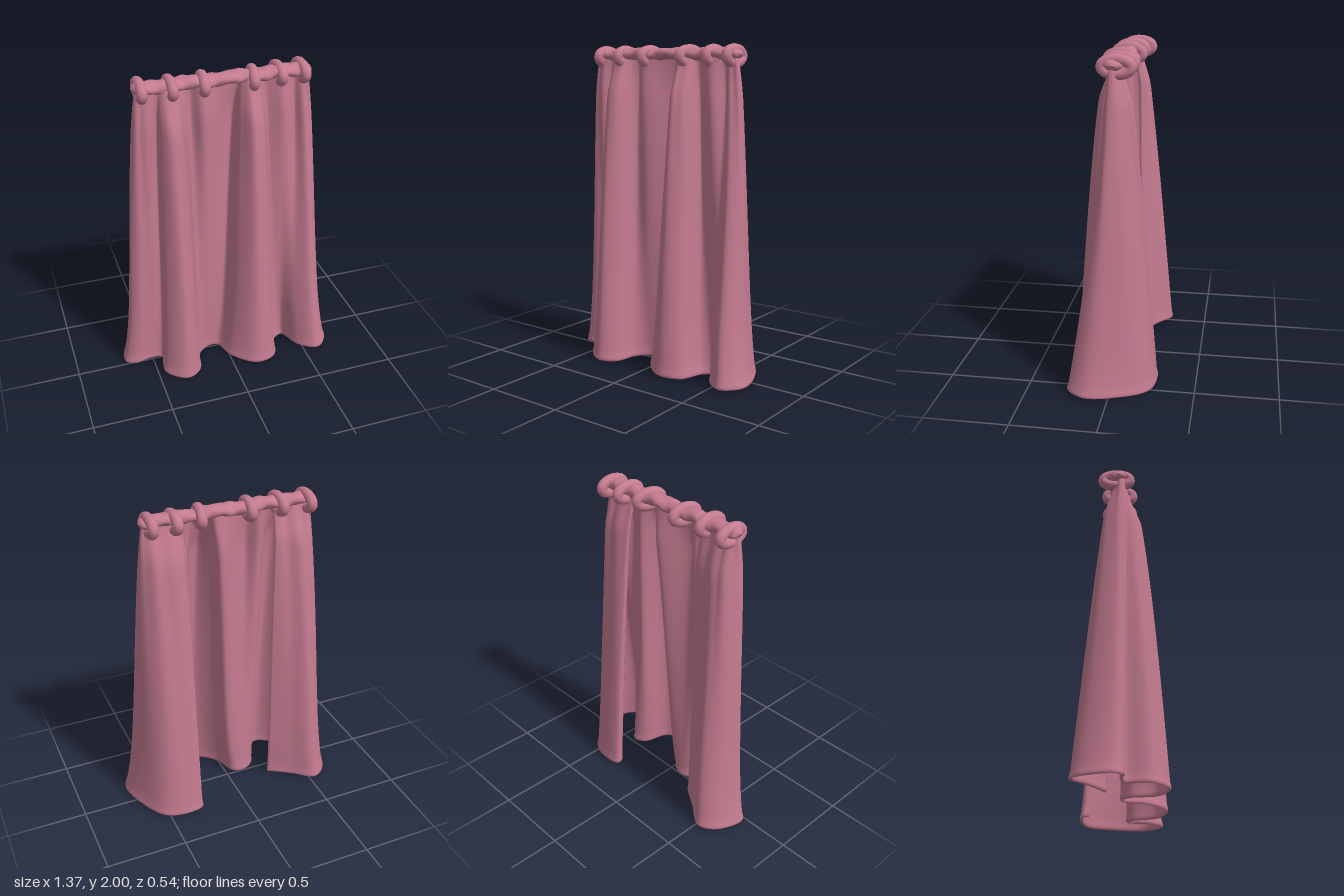
import * as THREE from 'three';

const cloth = new THREE.MeshStandardMaterial({ color: 0xc47b90 });
cloth.name = 'dustyPinkCloth';

// Plan of the curtain: [hem x, hem z, heading x, heading z], free edge to free edge
const plan = [
  [-0.26, -0.09, -0.28, -0.06], [-0.40, -0.18, -0.36, -0.065], [-0.53, -0.265, -0.43, -0.07],
  [-0.625, -0.20, -0.48, -0.05], [-0.678, -0.03, -0.505, 0.0], [-0.62, 0.01, -0.49, 0.035],
  [-0.52, 0.0, -0.45, 0.045], [-0.44, 0.02, -0.39, 0.0], [-0.45, 0.17, -0.37, 0.03],
  [-0.33, 0.26, -0.325, 0.07], [-0.235, 0.20, -0.28, 0.03], [-0.20, 0.06, -0.21, -0.035],
  [-0.12, 0.0, -0.14, 0.06], [-0.05, 0.01, 0.10, -0.065], [0.01, 0.15, 0.12, 0.02],
  [0.15, 0.26, 0.155, 0.065], [0.28, 0.22, 0.19, 0.03], [0.34, 0.06, 0.25, -0.03],
  [0.41, 0.03, 0.33, 0.045], [0.48, 0.18, 0.43, -0.02], [0.59, 0.247, 0.47, 0.015],
  [0.678, 0.14, 0.50, -0.005], [0.615, -0.09, 0.50, -0.04], [0.52, -0.22, 0.455, -0.065],
  [0.39, -0.255, 0.38, -0.07], [0.285, -0.24, 0.30, -0.06], [0.29, -0.205, 0.30, -0.045],
];
const hemCurve = new THREE.CatmullRomCurve3(plan.map((p) => new THREE.Vector3(p[0], 0, p[1])));
const headCurve = new THREE.CatmullRomCurve3(plan.map((p) => new THREE.Vector3(p[2], 0, p[3])));

// Smooth surface through rows of closed loops
function loft(rows) {
  const n = rows[0].length, pos = [], index = [];
  rows.forEach((row) => row.forEach((p) => pos.push(p.x, p.y, p.z)));
  for (let j = 0; j < rows.length - 1; j++) {
    for (let i = 0; i < n; i++) {
      const k = (i + 1) % n;
      const a = j * n + i, b = j * n + k, c = a + n, d = b + n;
      index.push(a, b, d, a, d, c);
    }
  }
  const geo = new THREE.BufferGeometry();
  geo.setAttribute('position', new THREE.Float32BufferAttribute(pos, 3));
  geo.setIndex(index);
  geo.computeVertexNormals();
  return geo;
}

function part(name, geo) {
  const mesh = new THREE.Mesh(geo, cloth);
  mesh.name = name;
  return mesh;
}

// Centre line of the cloth at height y: swells below the rings, flares at the hem
function clothRow(y, count) {
  const { lerp, smoothstep } = THREE.MathUtils;
  const t = Math.max(0, 1 - y / 1.95);
  const wx = 0.75 * t ** 0.6 + 0.25 * t ** 8;
  const wFront = t ** 0.63, wBack = t ** 0.88, wEnd = t ** 1.35;
  const pinch = 1 - 0.52 * smoothstep(y, 1.68, 1.95);
  const ripple = 0.007 * (1 - t) ** 2;
  const pts = [];
  for (let i = 0; i <= count; i++) {
    const u = i / count;
    const a = headCurve.getPoint(u), b = hemCurve.getPoint(u);
    const lift = 0.008 * (1 + Math.sin(u * 25 + 1)) * t ** 8;
    // the last front fold on the left opens out lower down than the others
    const front = lerp(wFront, wEnd, smoothstep(b.x, 0.36, 0.48));
    const wz = lerp(wBack, front, smoothstep(b.z, -0.1, 0.1));
    pts.push(new THREE.Vector3(
      a.x + (b.x - a.x) * wx,
      y + lift,
      (a.z + (b.z - a.z) * wz + ripple * Math.sin(u * 130 + y * 2)) * pinch,
    ));
  }
  return pts;
}

// Thick hanging cloth with a rounded hem
function curtainGeometry() {
  const levels = [[0, 0.001], [0.004, 0.007], [0.014, 0.010], [0.03, 0.009], [0.05, 0.006]];
  for (let j = 1; j <= 48; j++) levels.push([0.05 + 1.9 * (j / 48), 0.006]);
  return loft(levels.map(([y, half]) => {
    const mid = clothRow(y, 260);
    const front = [], back = [];
    mid.forEach((p, i) => {
      const q = mid[Math.max(0, i - 1)], r = mid[Math.min(mid.length - 1, i + 1)];
      const normal = new THREE.Vector3(-(r.z - q.z), 0, r.x - q.x).normalize();
      front.push(p.clone().addScaledVector(normal, half));
      back.unshift(p.clone().addScaledVector(normal, -half));
    });
    return front.concat(back);
  }));
}

// Crumpled, gathered roll along the top
function headingGeometry() {
  const rows = [], steps = 90, sides = 20;
  for (let j = 0; j <= steps; j++) {
    const s = (j / steps) * 2 - 1, x = 0.54 * s;
    const end = Math.sqrt(Math.max(0, 1 - Math.abs(s) ** 24)) + 0.001;
    const row = [];
    for (let i = 0; i < sides; i++) {
      const a = (-i / sides) * Math.PI * 2;
      const r = end * (1 + 0.08 * Math.sin(x * 38 + 2 * a) + 0.06 * Math.sin(x * 71 - 3 * a));
      row.push(new THREE.Vector3(x,
        1.943 + 0.004 * Math.sin(x * 22) + 0.036 * r * Math.sin(a),
        -0.014 + 0.056 * r * Math.cos(a)));
    }
    rows.push(row);
  }
  return loft(rows);
}

// Fat oval loop around the heading; lean shifts its front and back sideways
function ringGeometry(x, z, lean) {
  const pts = [];
  for (let i = 0; i < 16; i++) {
    const a = (i / 16) * Math.PI * 2;
    pts.push(new THREE.Vector3(x - lean * Math.cos(a),
      1.928 + 0.041 * Math.sin(a), z + 0.083 * Math.cos(a)));
  }
  return new THREE.TubeGeometry(new THREE.CatmullRomCurve3(pts, true), 40, 0.031, 12, true);
}

export function createModel() {
  const model = new THREE.Group();
  model.name = 'curtain';
  model.add(part('hangingCloth', curtainGeometry()));
  model.add(part('gatheredHeading', headingGeometry()));

  const rings = new THREE.Group();
  rings.name = 'hangingRings';
  const places = [
    [-0.487, -0.03, 0], [-0.315, -0.012, 0], [-0.122, -0.015, 0.008],
    [0.177, -0.012, 0.015], [0.34, -0.03, 0], [0.482, -0.03, 0],
  ];
  places.forEach(([x, z, lean]) => rings.add(part('ring', ringGeometry(x, z, lean))));
  model.add(rings);
  return model;
}
